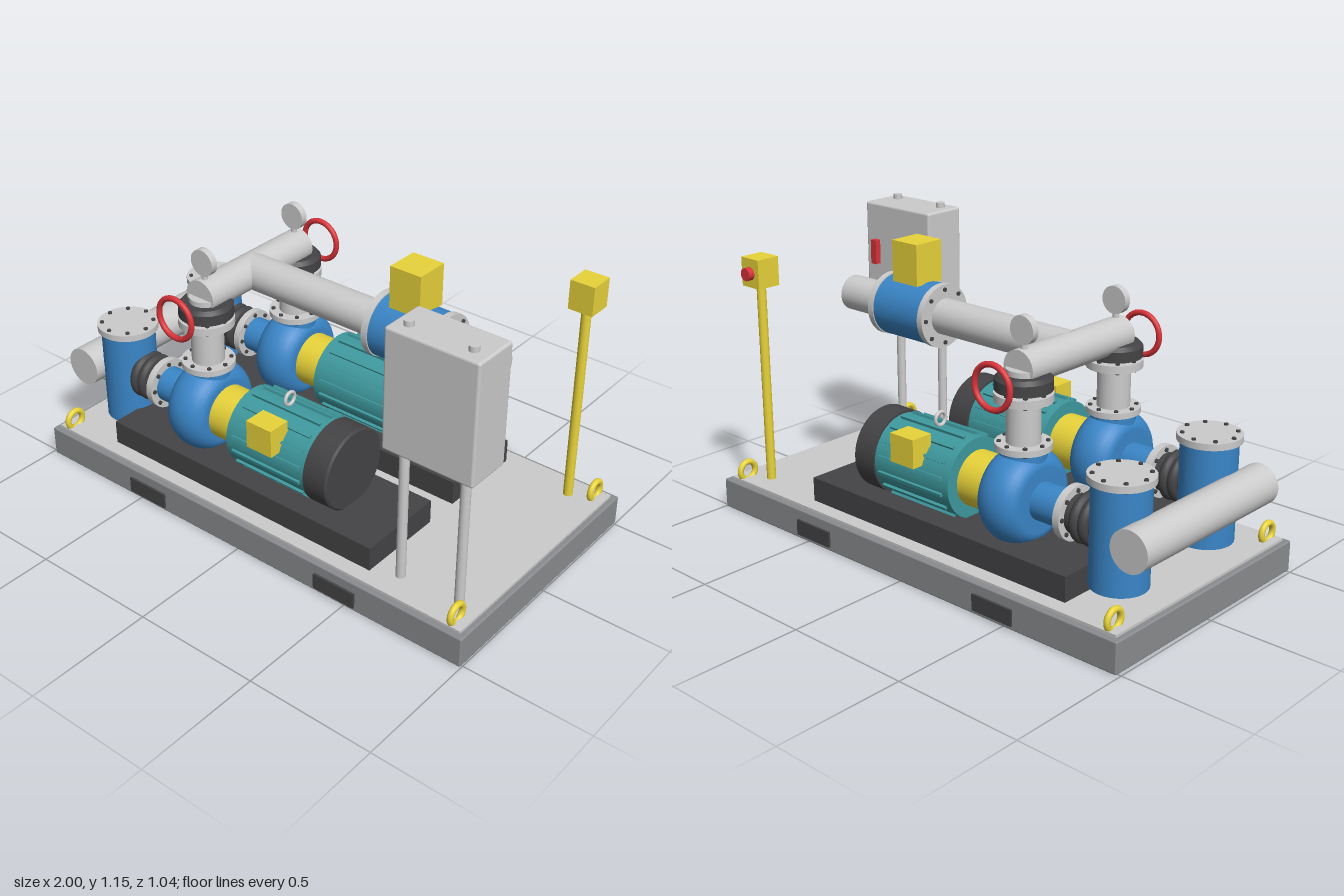
import * as THREE from 'three';
import { RoundedBoxGeometry } from 'three/addons/geometries/RoundedBoxGeometry.js';

const mat = (color) => new THREE.MeshStandardMaterial({ color });
const GREY = mat(0xcccccc), FRAME = mat(0x8a8c8f), DARK = mat(0x444446), BLUE = mat(0x3a86c8),
  TEAL = mat(0x3f9a9f), YELLOW = mat(0xe8d33a), RED = mat(0xd8343a);

function add(parent, name, geometry, material, x = 0, y = 0, z = 0) {
  const mesh = new THREE.Mesh(geometry, material);
  mesh.name = name;
  mesh.position.set(x, y, z);
  parent.add(mesh);
  return mesh;
}

// Box given by its extents on each axis
function box(parent, name, material, [x0, x1], [y0, y1], [z0, z1], round = 0) {
  const size = [x1 - x0, y1 - y0, z1 - z0];
  const geo = round ? new RoundedBoxGeometry(...size, 3, round) : new THREE.BoxGeometry(...size);
  return add(parent, name, geo, material, (x0 + x1) / 2, (y0 + y1) / 2, (z0 + z1) / 2);
}

function turn(geometry, axis) {
  if (axis === 'x') geometry.rotateZ(-Math.PI / 2);
  if (axis === 'z') geometry.rotateX(Math.PI / 2);
  return geometry;
}

// Cylinder running from a to b along an axis; p holds the other two coordinates in x, y, z order
function rod(parent, name, material, axis, a, b, r, p, rEnd = r) {
  const m = (a + b) / 2;
  const pos = { x: [m, ...p], y: [p[0], m, p[1]], z: [...p, m] }[axis];
  return add(parent, name, turn(new THREE.CylinderGeometry(rEnd, r, b - a, 40), axis), material, ...pos);
}

// Flange disc with a ring of bolts passing through it
function flange(parent, name, axis, a, b, r, p) {
  const g = new THREE.Group();
  g.name = name;
  rod(g, 'flangeDisc', GREY, axis, a, b, r, p);
  const rb = r * 0.84;
  for (let i = 0; i < 8; i++) {
    const t = (i / 8) * Math.PI * 2, u = rb * Math.cos(t), v = rb * Math.sin(t);
    rod(g, 'bolt', DARK, axis, a - 0.006, b + 0.006, 0.008, [p[0] + u, p[1] + v]);
  }
  parent.add(g);
}

// Round body along x from [radius, offset] profile points
function turned(parent, name, material, points, x, y, z) {
  const geo = new THREE.LatheGeometry(points.map(([r, h]) => new THREE.Vector2(r, h)), 48);
  return add(parent, name, turn(geo, 'x'), material, x, y, z);
}

function ring(parent, name, material, R, tube, x, y, z, facing) {
  const mesh = add(parent, name, new THREE.TorusGeometry(R, tube, 14, 36), material, x, y, z);
  if (facing === 'x') mesh.rotation.y = Math.PI / 2;
  return mesh;
}

// Pump line: strainer, bellows, pump, coupling, motor and discharge riser; s is the side
function pumpLine(s) {
  const g = new THREE.Group(), z = 0.25 * s, y = 0.365, axis = [y, z];
  g.name = s > 0 ? 'frontPumpLine' : 'backPumpLine';
  box(g, 'plinth', DARK, [-0.705, 0.55], [0.13, 0.225], [z - 0.18, z + 0.18]);

  // Strainer with bolted lid
  rod(g, 'strainerBody', BLUE, 'y', 0.16, 0.54, 0.105, [-0.79, z]);
  flange(g, 'strainerLid', 'y', 0.54, 0.565, 0.118, [-0.79, z]);

  // Flexible connector and suction pipe
  rod(g, 'connectorSleeve', DARK, 'x', -0.72, -0.6, 0.072, axis);
  for (const x of [-0.69, -0.652]) ring(g, 'bellows', DARK, 0.074, 0.02, x, y, z, 'x');
  flange(g, 'suctionFlange', 'x', -0.605, -0.577, 0.1, axis);
  rod(g, 'suctionPipe', BLUE, 'x', -0.58, -0.44, 0.07, axis);

  // Pump casing with a rounded rim
  const rim = [];
  for (let i = 0; i <= 12; i++) {
    const t = -Math.PI / 2 + (i / 12) * Math.PI;
    rim.push([0.12 + 0.06 * Math.cos(t), 0.09 * Math.sin(t)]);
  }
  turned(g, 'pumpCasing', BLUE, [[0, -0.09], ...rim, [0, 0.09]], -0.36, y, z);
  rod(g, 'pumpOutlet', BLUE, 'y', y, 0.545, 0.085, [-0.36, z]);

  // Coupling guard and motor
  rod(g, 'couplingGuard', YELLOW, 'x', -0.28, -0.14, 0.105, axis);
  rod(g, 'motorBody', TEAL, 'x', -0.14, 0.235, 0.152, axis);
  for (let i = 0; i < 16; i++) {
    const fin = add(g, 'coolingFin', new THREE.BoxGeometry(0.32, 0.024, 0.012), TEAL, 0.05, y, z);
    fin.geometry.translate(0, 0.15, 0);
    fin.rotation.x = ((i + 0.5) / 16) * Math.PI * 2;
  }
  turned(g, 'fanCover', DARK, [[0, 0], [0.16, 0], [0.16, 0], [0.16, 0.098], [0.16, 0.098],
    [0.152, 0.105], [0.152, 0.105], [0, 0.105]], 0.232, y, z);
  const inner = z + 0.095 * s, outer = z + 0.187 * s;
  box(g, 'terminalBox', YELLOW, [-0.005, 0.11], [0.415, 0.525],
    [Math.min(inner, outer), Math.max(inner, outer)]);
  ring(g, 'motorLiftingEye', GREY, 0.025, 0.007, 0.04, 0.545, z, 'x');

  // Discharge riser and valve
  const up = [-0.36, z];
  flange(g, 'lowerRiserFlange', 'y', 0.54, 0.563, 0.102, up);
  rod(g, 'riser', GREY, 'y', 0.56, 0.83, 0.062, up);
  flange(g, 'upperRiserFlange', 'y', 0.715, 0.745, 0.105, up);
  rod(g, 'valveBody', DARK, 'y', 0.755, 0.795, 0.103, up);
  rod(g, 'valveTop', DARK, 'y', 0.795, 0.81, 0.103, up, 0.09);
  ring(g, 'handwheel', RED, 0.08, 0.011, -0.36, 0.8, 0.41 * s);

  // Pressure gauge on the header
  rod(g, 'gaugeStem', GREY, 'y', 0.88, 0.925, 0.012, up);
  rod(g, 'gauge', GREY, 'z', z - 0.014, z + 0.014, 0.052, [-0.36, 0.965]);
  return g;
}

export function createModel() {
  const model = new THREE.Group();
  model.name = 'pumpSkid';

  // Skid base, deck, fork pockets and lifting eyes
  box(model, 'skidFrame', FRAME, [-0.988, 0.997], [0, 0.12], [-0.513, 0.513], 0.006);
  box(model, 'deckPlate', GREY, [-0.967, 0.976], [0.11, 0.13], [-0.49, 0.49]);
  for (const s of [-1, 1]) {
    for (const x of [-0.455, 0.46]) {
      box(model, 'forkPocket', DARK, [x - 0.09, x + 0.09], [0.018, 0.08], [s * 0.51 - 0.012, s * 0.51 + 0.012]);
    }
    for (const x of [-0.925, 0.93]) ring(model, 'liftingEye', YELLOW, 0.036, 0.012, x, 0.155, s * 0.448, 'x');
    model.add(pumpLine(s));
  }

  // Headers and the main outlet pipe
  rod(model, 'suctionHeader', GREY, 'z', -0.38, 0.38, 0.077, [-0.923, 0.368]);
  rod(model, 'dischargeHeader', GREY, 'z', -0.28, 0.28, 0.066, [-0.36, 0.833]);
  rod(model, 'outletPipe', GREY, 'x', -0.36, 0.76, 0.069, [0.833, 0]);

  // Flow meter
  rod(model, 'meterBody', BLUE, 'x', 0.28, 0.53, 0.119, [0.833, 0]);
  flange(model, 'meterInletFlange', 'x', 0.258, 0.284, 0.123, [0.833, 0]);
  flange(model, 'meterOutletFlange', 'x', 0.523, 0.549, 0.123, [0.833, 0]);
  box(model, 'meterHead', YELLOW, [0.337, 0.466], [0.945, 1.105], [-0.066, 0.066]);

  // Control panel on two posts
  box(model, 'controlPanel', GREY, [0.595, 0.957], [0.668, 1.13], [0.258, 0.44], 0.01);
  for (const x of [0.65, 0.896]) rod(model, 'panelPost', GREY, 'y', 0.13, 1.15, 0.018, [x, 0.382]);
  box(model, 'panelHandle', RED, [0.878, 0.908], [0.88, 0.98], [0.233, 0.262]);

  // Emergency stop station
  rod(model, 'stopPost', YELLOW, 'y', 0.13, 0.93, 0.018, [0.846, -0.397]);
  box(model, 'stopBox', YELLOW, [0.798, 0.895], [0.925, 1.038], [-0.446, -0.348]);
  rod(model, 'stopButton', RED, 'z', -0.471, -0.44, 0.025, [0.846, 0.98]);
  return model;
}
